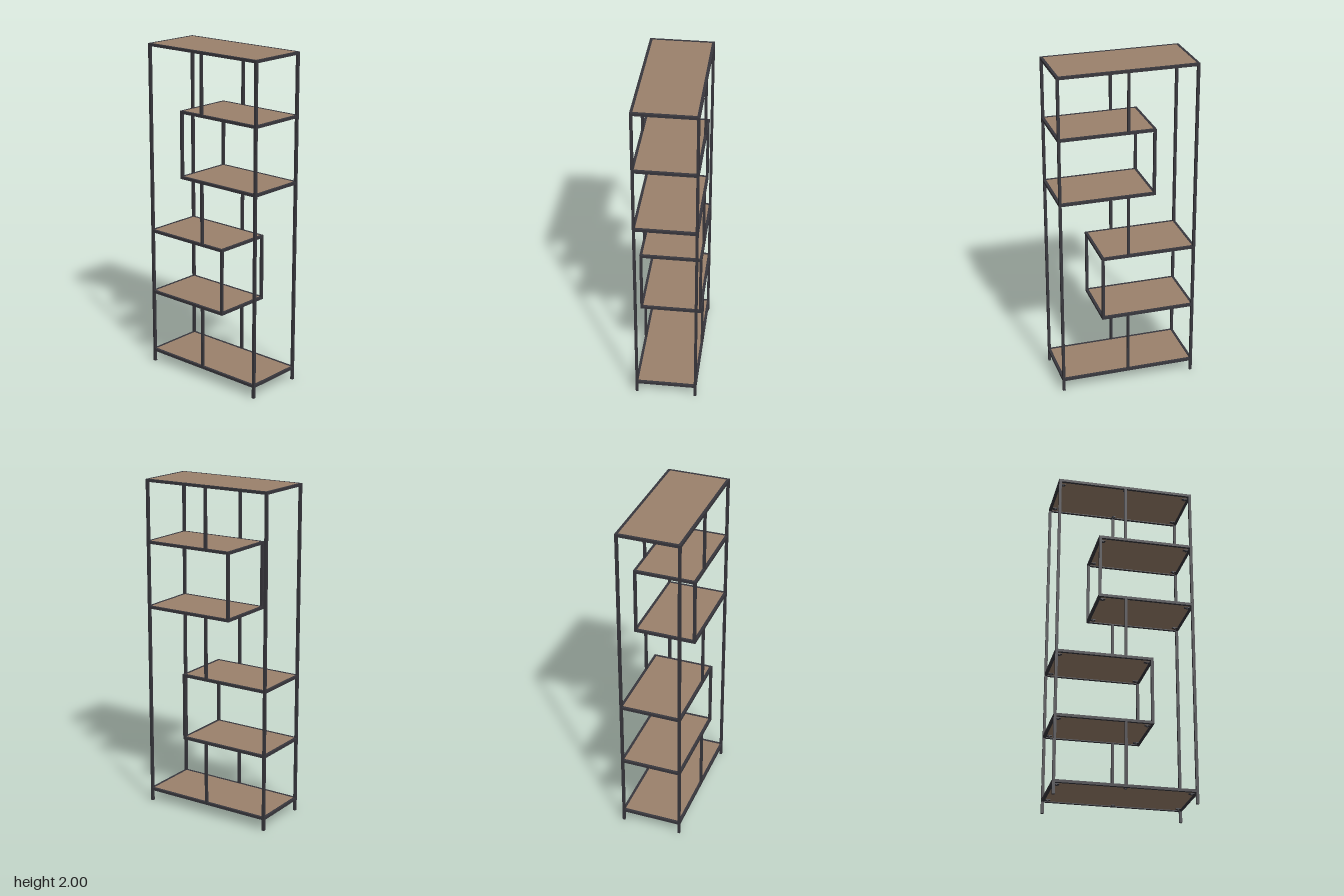
import * as THREE from 'three';

const T = 0.016;            // square tube size
const HX = 0.414, HZ = 0.187; // half width and half depth
const BOX_X = 0.163;        // overhang of the offset compartments past the centre

export function createModel() {
  const metal = new THREE.MeshStandardMaterial({ color: 0x38373d });
  metal.name = 'dark metal';
  const wood = new THREE.MeshStandardMaterial({ color: 0x9b816b });
  wood.name = 'brown wood';

  const model = new THREE.Group();
  model.name = 'shelvingUnit';

  // box given by its minimum and maximum corners
  function box(parent, name, mat, x0, x1, y0, y1, z0, z1) {
    const mesh = new THREE.Mesh(new THREE.BoxGeometry(x1 - x0, y1 - y0, z1 - z0), mat);
    mesh.position.set((x0 + x1) / 2, (y0 + y1) / 2, (z0 + z1) / 2);
    mesh.name = name;
    parent.add(mesh);
  }

  // matching front and back uprights
  function posts(name, x, y0, y1, size = T) {
    for (const s of [-1, 1]) {
      const z = s * (HZ - T / 2);
      box(model, name, metal, x - size / 2, x + size / 2, y0, y1, z - size / 2, z + size / 2);
    }
  }

  // framed shelf: rails around a wooden board, with fixing tabs below
  function shelf(name, x0, x1, top) {
    const g = new THREE.Group();
    g.name = name;
    model.add(g);
    const y0 = top - T;
    box(g, 'sideRail', metal, x0, x0 + T, y0, top, -HZ, HZ);
    box(g, 'sideRail', metal, x1 - T, x1, y0, top, -HZ, HZ);
    box(g, 'backRail', metal, x0 + T, x1 - T, y0, top, -HZ, -HZ + T);
    box(g, 'frontRail', metal, x0 + T, x1 - T, y0, top, HZ - T, HZ);
    box(g, 'board', wood, x0 + T, x1 - T, top - 0.011, top - 0.0005, -HZ + T, HZ - T);

    const tabXs = [[x0 + T, x0 + 0.046], [x1 - 0.046, x1 - T]];
    if (x1 - x0 > 0.7) tabXs.push([-0.01, 0.01]);
    for (const [a, b] of tabXs) for (const s of [-1, 1]) {
      const z = s * (HZ - (a === -0.01 ? 0.026 : 0.045));
      box(g, 'fixingTab', metal, a, b, y0, top - 0.011, z - 0.01, z + 0.01);
      const screw = new THREE.Mesh(new THREE.CylinderGeometry(0.007, 0.007, 0.005, 12), metal);
      screw.position.set((a + b) / 2, y0 - 0.0025, z);
      screw.name = 'screw';
      g.add(screw);
    }
  }

  // shelves from bottom to top
  const tops = [0.083, 0.470, 0.863, 1.245, 1.637, 2.0];
  shelf('bottomShelf', -HX, HX, tops[0]);
  shelf('lowerBoxBottom', -HX, BOX_X, tops[1]);
  shelf('lowerBoxTop', -HX, BOX_X, tops[2]);
  shelf('upperBoxBottom', -BOX_X, HX, tops[3]);
  shelf('upperBoxTop', -BOX_X, HX, tops[4]);
  shelf('topShelf', -HX, HX, tops[5]);

  // corner legs, stopping below the top frame
  for (const s of [-1, 1]) posts('cornerPost', s * (HX - T / 2), 0, tops[5] - T);

  // uprights closing the open ends of the offset compartments
  posts('lowerBoxPost', BOX_X - T / 2, tops[1], tops[2] - T);
  posts('upperBoxPost', -BOX_X + T / 2, tops[3], tops[4] - T);

  // central uprights between compartments
  for (const i of [0, 2, 4]) posts('centrePost', 0, tops[i], tops[i + 1] - T, 0.015);

  return model;
}
